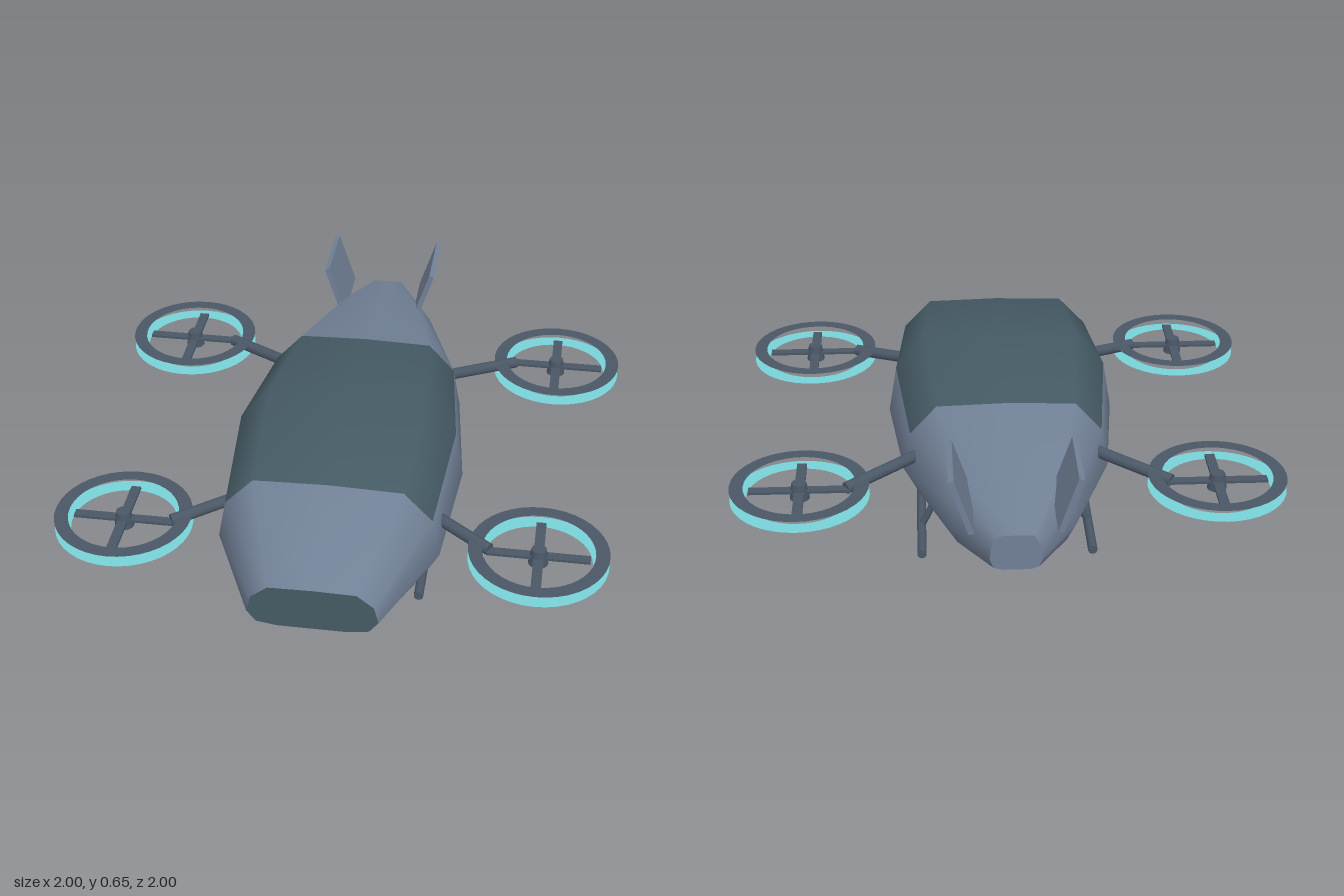
import * as THREE from 'three';

const paint = (name, color, side = THREE.FrontSide) => {
  const m = new THREE.MeshStandardMaterial({ color, side });
  m.name = name;
  return m;
};

export function createModel() {
  const model = new THREE.Group();
  model.name = 'passengerDrone';
  const hullGrey = paint('hullGrey', 0x718096);
  const glass = paint('canopyGlass', 0x455a64);
  const frame = paint('frameGrey', 0x4a5766, THREE.DoubleSide);
  const glow = paint('ductCyan', 0x76d2d6, THREE.DoubleSide);

  const add = (parent, name, geometry, material, x = 0, y = 0, z = 0) => {
    const mesh = new THREE.Mesh(geometry, material);
    mesh.name = name;
    mesh.position.set(x, y, z);
    parent.add(mesh);
    return mesh;
  };

  // Round bar between two points
  const bar = (parent, name, from, to, radius, material) => {
    const a = new THREE.Vector3(...from), b = new THREE.Vector3(...to);
    const mesh = add(parent, name, new THREE.CylinderGeometry(radius, radius, a.distanceTo(b), 10), material);
    mesh.position.copy(a).add(b).multiplyScalar(0.5);
    mesh.quaternion.setFromUnitVectors(new THREE.Vector3(0, 1, 0), b.sub(a).normalize());
    return mesh;
  };

  // Hull stations: z, half width, bottom, top
  const stations = [
    [1, 0.23, 0.22, 0.39],
    [0.64, 0.4, 0.175, 0.57],
    [0.165, 0.437, 0.16, 0.64],
    [-0.31, 0.38, 0.187, 0.58],
    [-0.75, 0.225, 0.25, 0.495],
    [-1, 0.09, 0.31, 0.445],
  ];
  // Half section: share of half width, share of height
  const half = [[0, 1], [0.67, 0.98], [0.93, 0.7], [1, 0.32], [0.86, 0.07], [0.54, 0]];
  const section = [
    ...half.map(([u, v]) => [-u, v]),
    ...half.slice(1).reverse(),
  ];
  const n = section.length;
  const ring = ([z, w, low, high]) => section.map(([u, v]) => [u * w, low + v * (high - low), z]);

  // Lofted hull with the canopy as a second material group
  const hullFaces = [], glassFaces = [];
  for (let s = 0; s < stations.length - 1; s++) {
    for (let i = 0; i < n; i++) {
      const j = (i + 1) % n;
      const a = s * n + i, b = s * n + j, c = (s + 1) * n + j, d = (s + 1) * n + i;
      const isCanopy = (s === 1 || s === 2) && (i < 2 || i >= n - 2);
      (isCanopy ? glassFaces : hullFaces).push(a, d, c, a, c, b);
    }
  }
  const hull = new THREE.BufferGeometry();
  hull.setAttribute('position', new THREE.Float32BufferAttribute(stations.flatMap(ring).flat(), 3));
  hull.setIndex([...hullFaces, ...glassFaces]);
  hull.addGroup(0, hullFaces.length, 0);
  hull.addGroup(hullFaces.length, glassFaces.length, 1);
  hull.computeVertexNormals();
  add(model, 'hullAndCanopy', hull, [hullGrey, glass]);

  // Flat end faces
  const endFace = (name, station, material, facesBack) => {
    const points = ring(station).map(([x, y]) => new THREE.Vector2(facesBack ? -x : x, y));
    const mesh = add(model, name, new THREE.ShapeGeometry(new THREE.Shape(points)), material, 0, 0, station[0]);
    if (facesBack) mesh.rotation.y = Math.PI;
  };
  endFace('noseWindow', stations[0], glass, false);
  endFace('tailFace', stations[stations.length - 1], hullGrey, true);

  // Rotor: two flat duct rings, crossed blades and a tapered hub
  const rotor = (name, x, y, z) => {
    const group = new THREE.Group();
    group.name = name;
    group.position.set(x, y, z);
    const upper = add(group, 'upperDuctRing', new THREE.RingGeometry(0.2, 0.25, 40), frame, 0, 0.022, 0);
    const lower = add(group, 'lowerDuctRing', new THREE.RingGeometry(0.192, 0.25, 40), glow, 0, -0.022, 0);
    upper.rotation.x = lower.rotation.x = -Math.PI / 2;
    add(group, 'bladePairAcross', new THREE.BoxGeometry(0.365, 0.01, 0.036), frame);
    add(group, 'bladePairAlong', new THREE.BoxGeometry(0.036, 0.01, 0.365), frame);
    add(group, 'hub', new THREE.CylinderGeometry(0.027, 0.036, 0.062, 12), frame);
    model.add(group);
  };

  for (const side of [1, -1]) {
    const label = side > 0 ? 'left' : 'right';

    // Rotors and their arms
    rotor(label + 'FrontRotor', side * 0.75, 0.341, 0.64);
    rotor(label + 'RearRotor', side * 0.75, 0.373, -0.548);
    bar(model, label + 'FrontArm', [side * 0.36, 0.372, 0.5], [side * 0.575, 0.346, 0.637], 0.023, frame);
    bar(model, label + 'RearArm', [side * 0.33, 0.405, -0.37], [side * 0.585, 0.375, -0.545], 0.023, frame);

    // Outward-leaning tail fin
    const fin = add(model, label + 'TailFin', new THREE.BoxGeometry(0.02, 0.212, 0.285), hullGrey,
      side * 0.183, 0.55, -0.85);
    fin.rotation.z = -side * 0.32;

    // Landing skid with two struts
    bar(model, label + 'Skid', [side * 0.32, 0.018, 0.545], [side * 0.32, 0.018, -0.44], 0.018, frame);
    for (const z of [0.34, -0.235]) {
      bar(model, label + 'SkidStrut', [side * 0.32, 0.018, z], [side * 0.235, 0.195, z], 0.013, frame);
    }
  }
  return model;
}
